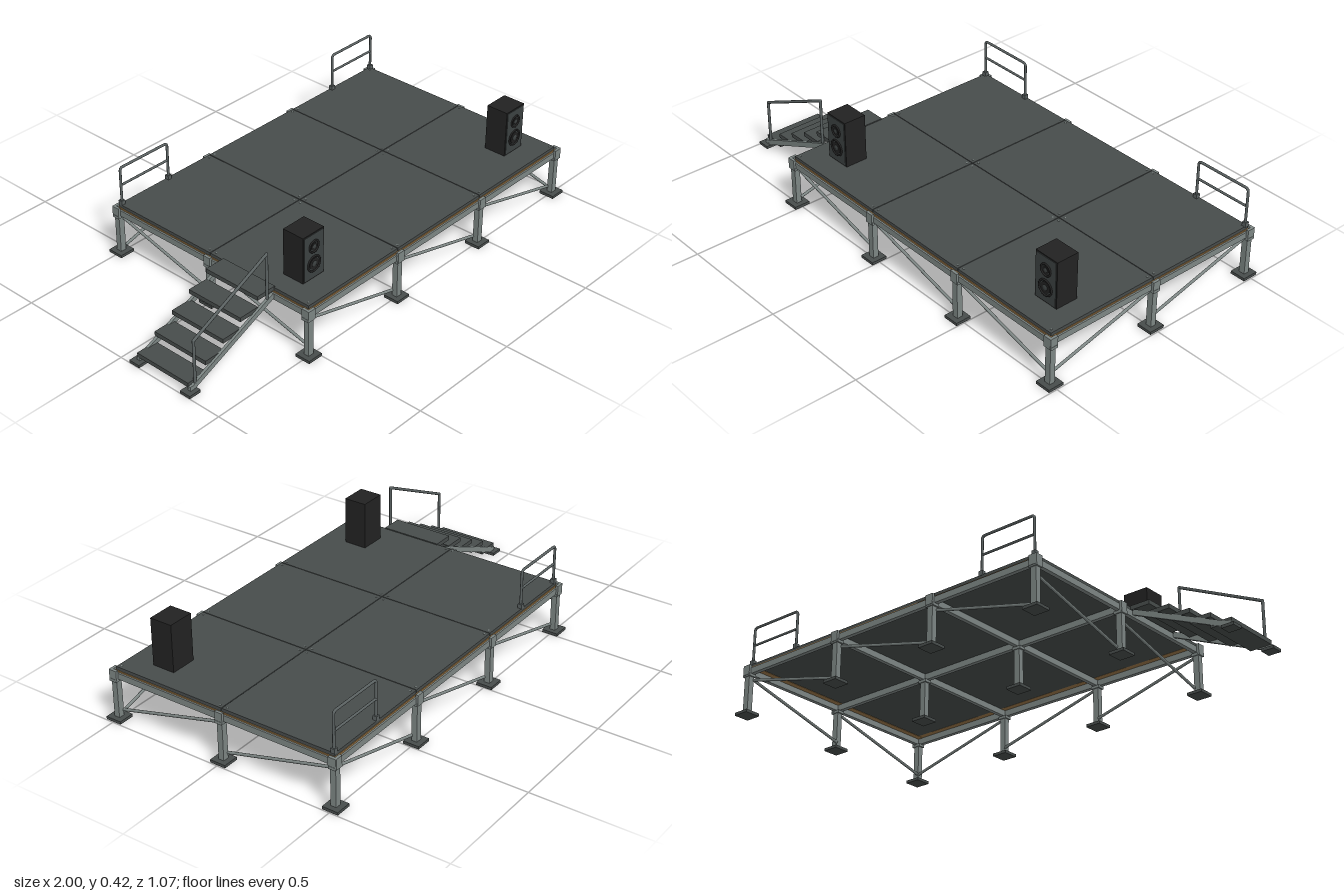
import * as THREE from 'three';

const mat = (name, color) => {
  const m = new THREE.MeshStandardMaterial({ color });
  m.name = name;
  return m;
};

export function createModel() {
  const steel = mat('galvanisedSteel', 0x7d8684);
  const deckGrey = mat('deckGrey', 0x474c4b);
  const railGrey = mat('railGrey', 0x5a6161);
  const wood = mat('plywood', 0x9a7748);
  const black = mat('cabinetBlack', 0x222222);
  const baffleGrey = mat('baffleGrey', 0x3c4141);
  const model = new THREE.Group();
  model.name = 'stage';

  const group = (name) => {
    const g = new THREE.Group();
    g.name = name;
    model.add(g);
    return g;
  };
  const add = (parent, name, geo, material, x = 0, y = 0, z = 0) => {
    const m = new THREE.Mesh(geo, material);
    m.name = name;
    m.position.set(x, y, z);
    parent.add(m);
    return m;
  };
  // Box given by its lower and upper limits on each axis
  const box = (parent, name, material, x0, x1, y0, y1, z0, z1) =>
    add(parent, name, new THREE.BoxGeometry(x1 - x0, y1 - y0, z1 - z0), material,
      (x0 + x1) / 2, (y0 + y1) / 2, (z0 + z1) / 2);
  // Round bar between two points
  const bar = (parent, name, material, a, b, r = 0.006) => {
    const p = new THREE.Vector3(...a), q = new THREE.Vector3(...b);
    const d = q.clone().sub(p);
    const m = add(parent, name, new THREE.CylinderGeometry(r, r, d.length(), 10), material);
    m.position.copy(p).add(q).multiplyScalar(0.5);
    m.quaternion.setFromUnitVectors(new THREE.Vector3(0, 1, 0), d.normalize());
    return m;
  };

  const xs = [-0.533, -0.035, 0.463, 0.962];
  const zs = [-0.5, 0, 0.5];
  const x0 = xs[0], x3 = xs[3];

  // Legs with foot plates and outer corner brackets
  const legs = group('legs');
  for (const x of xs) for (const z of zs) {
    box(legs, 'footPlate', deckGrey, x - 0.034, x + 0.034, 0, 0.012, z - 0.034, z + 0.034);
    box(legs, 'leg', steel, x - 0.013, x + 0.013, 0.012, 0.18, z - 0.012, z + 0.012);
    box(legs, 'legHead', steel, x - 0.02, x + 0.02, 0.168, 0.18, z - 0.016, z + 0.016);
    if (z) {
      const s = Math.sign(z);
      add(legs, 'bracket', new THREE.BoxGeometry(0.034, 0.042, 0.012), steel, x, 0.195, z + s * 0.012);
    }
    if (x === x0 || x === x3) {
      const s = x === x0 ? -1 : 1;
      add(legs, 'bracket', new THREE.BoxGeometry(0.012, 0.042, 0.034), steel, x + s * 0.013, 0.195, z);
    }
  }

  // Beam grid carrying the deck
  const frame = group('frame');
  for (const z of zs) box(frame, 'longBeam', steel, x0 - 0.009, x3 + 0.009, 0.178, 0.204, z - 0.009, z + 0.009);
  for (const x of xs) box(frame, 'crossBeam', steel, x - 0.009, x + 0.009, 0.179, 0.205, -0.508, 0.508);

  // Diagonal braces
  const braces = group('braces');
  for (let i = 0; i < 3; i++) {
    const a = xs[i] + 0.012, b = xs[i + 1] - 0.012;
    bar(braces, 'frontBrace', steel, [a, 0.157, 0.487], [b, 0.033, 0.487]);
    bar(braces, 'backBrace', steel, [a, 0.033, -0.487], [b, 0.157, -0.487]);
  }
  for (const x of [x0 + 0.013, x3 - 0.013]) for (const z of [0.49, -0.01]) {
    bar(braces, 'sideBrace', steel, [x, 0.034, z], [x, 0.157, z - 0.48]);
  }

  // Plywood edging under the deck
  const edging = group('edging');
  for (const s of [-1, 1]) {
    const z = s * 0.484;
    box(edging, 'longEdging', wood, x0, x3, 0.204, 0.211, z - 0.018, z + 0.018);
    const x = s < 0 ? x0 + 0.016 : x3 - 0.016;
    box(edging, 'shortEdging', wood, x - 0.018, x + 0.018, 0.203, 0.2105, -0.501, 0.501);
  }

  // Deck panels with corner bolts
  const deck = group('deck');
  const gap = 0.0015;
  for (let i = 0; i < 3; i++) for (let j = 0; j < 2; j++) {
    const a = xs[i] + gap, b = xs[i + 1] - gap, c = zs[j] + gap, d = zs[j + 1] - gap;
    box(deck, 'deckPanel', deckGrey, a, b, 0.2045, 0.2245, c, d);
    for (const x of [a + 0.015, b - 0.015]) for (const z of [c + 0.015, d - 0.015]) {
      add(deck, 'bolt', new THREE.CylinderGeometry(0.0035, 0.0035, 0.002, 8), steel, x, 0.225, z);
    }
  }

  // Guard rails at the back corners
  for (const [a, b] of [[-0.523, -0.273], [0.705, 0.955]]) {
    const rail = group('guardRail');
    const z = -0.491, r = 0.0055;
    const corner = 0.015;
    const path = new THREE.CurvePath();
    const v = (x, y) => new THREE.Vector3(x, y, z);
    path.add(new THREE.LineCurve3(v(a, 0.222), v(a, 0.388 - corner)));
    path.add(new THREE.QuadraticBezierCurve3(v(a, 0.388 - corner), v(a, 0.388), v(a + corner, 0.388)));
    path.add(new THREE.LineCurve3(v(a + corner, 0.388), v(b - corner, 0.388)));
    path.add(new THREE.QuadraticBezierCurve3(v(b - corner, 0.388), v(b, 0.388), v(b, 0.388 - corner)));
    path.add(new THREE.LineCurve3(v(b, 0.388 - corner), v(b, 0.222)));
    add(rail, 'railHoop', new THREE.TubeGeometry(path, 120, r, 10), railGrey);
    bar(rail, 'middleRail', railGrey, [a, 0.31, z], [b, 0.31, z], 0.005);
    for (const x of [a, b]) box(rail, 'railSocket', railGrey, x - 0.009, x + 0.009, 0.222, 0.242, z - 0.009, z + 0.009);
  }

  // Stairs: five treads on two sloping stringers
  const stairs = group('stairs');
  for (let i = 0; i < 5; i++) {
    const x = -0.979 + i * 0.09, y = 0.026 + i * 0.0462;
    box(stairs, 'tread', deckGrey, x, x + 0.092, y, y + 0.018, 0.066, 0.328);
  }
  for (const z of [0.07, 0.332]) {
    const len = Math.hypot(0.43, 0.185);
    const m = add(stairs, 'stringer', new THREE.BoxGeometry(len, 0.022, 0.012), steel, -0.757, 0.107, z);
    m.rotation.z = Math.atan2(0.185, 0.43);
    box(stairs, 'stairFoot', deckGrey, -1, -0.946, 0, 0.012, z - 0.025, z + 0.025);
    box(stairs, 'stairFootPost', steel, -0.978, -0.96, 0.01, 0.03, z - 0.007, z + 0.007);
  }

  // Stair handrail on the front side
  const hz = 0.333;
  bar(stairs, 'handrailPost', railGrey, [-0.949, 0.03, hz], [-0.949, 0.218, hz]);
  bar(stairs, 'handrail', railGrey, [-0.949, 0.218, hz], [-0.574, 0.395, hz]);
  bar(stairs, 'handrailPost', railGrey, [-0.574, 0.2, hz], [-0.574, 0.395, hz]);
  for (const [x, y] of [[-0.949, 0.218], [-0.574, 0.395]]) {
    add(stairs, 'handrailElbow', new THREE.SphereGeometry(0.006, 10, 8), railGrey, x, y, hz);
  }

  // Loudspeakers with two drivers each
  for (const x of [-0.39, 0.818]) {
    const sp = group('loudspeaker');
    box(sp, 'cabinet', black, x - 0.056, x + 0.056, 0.2245, 0.424, 0.295, 0.393);
    box(sp, 'baffle', baffleGrey, x - 0.051, x + 0.051, 0.23, 0.419, 0.392, 0.3955);
    for (const [y, r] of [[0.29, 0.036], [0.366, 0.028]]) {
      add(sp, 'driverRing', new THREE.TorusGeometry(r - 0.004, 0.004, 8, 32), black, x, y, 0.3965);
      const cone = add(sp, 'driverCone', new THREE.CylinderGeometry(r - 0.012, r - 0.012, 0.003, 32), black, x, y, 0.3965);
      cone.rotation.x = Math.PI / 2;
      const cap = add(sp, 'dustCap', new THREE.SphereGeometry(r * 0.33, 16, 10), baffleGrey, x, y, 0.398);
      cap.scale.z = 0.3;
    }
  }
  return model;
}
